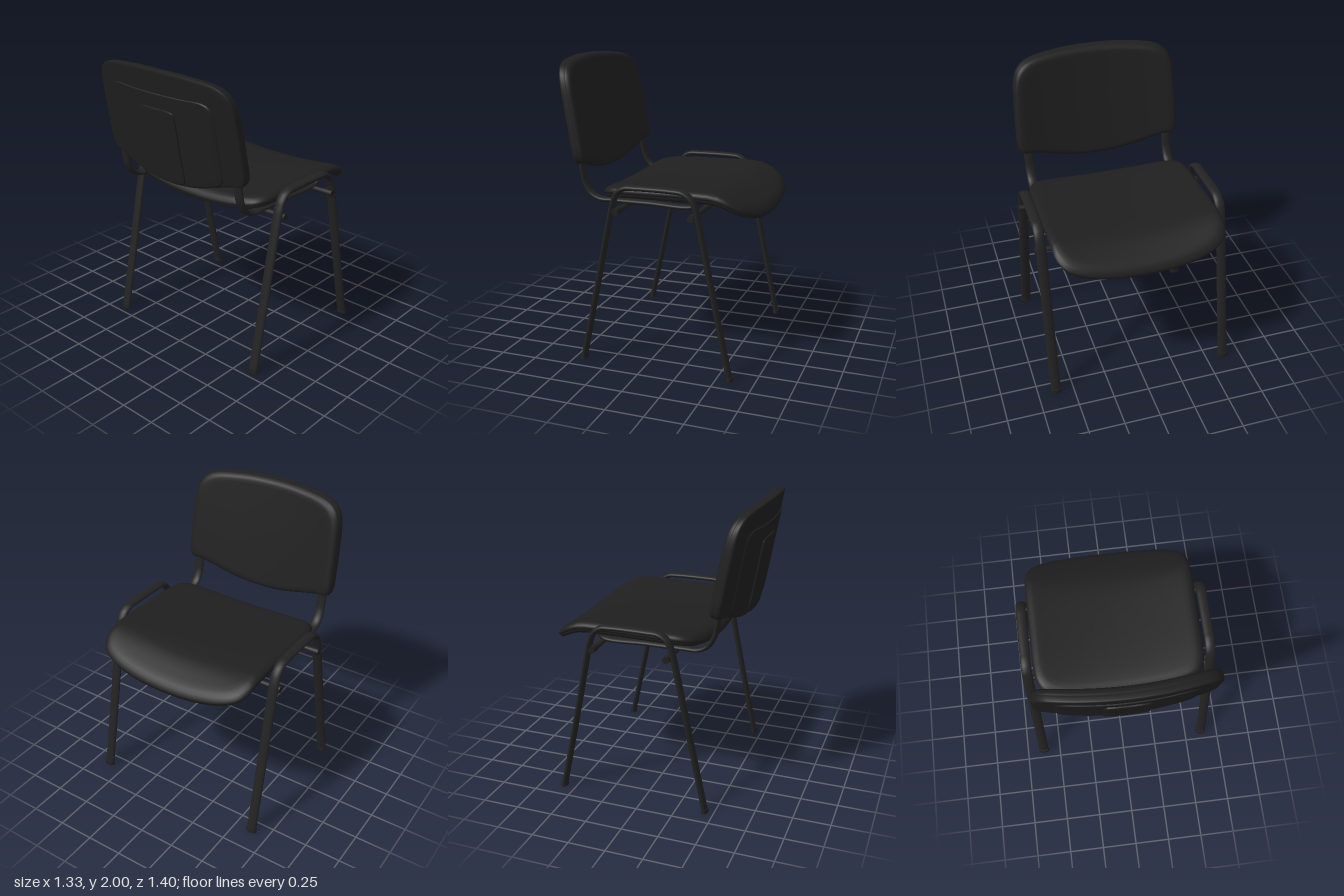
import * as THREE from 'three';

const cushionMat = new THREE.MeshStandardMaterial({ color: 0x1f1f1f });
cushionMat.name = 'black plastic';
const frameMat = new THREE.MeshStandardMaterial({ color: 0x222222 });
frameMat.name = 'black steel';

// Closed symmetric outline from its right half, listed from bottom to top
function mirrorOutline(half, samples) {
  const left = half.slice(1, -1).reverse().map(([u, v]) => [-u, v]);
  const pts = [...half, ...left].map(([u, v]) => new THREE.Vector3(u, v, 0));
  return new THREE.CatmullRomCurve3(pts, true, 'centripetal').getPoints(samples).slice(0, samples);
}

// Bent pad: rings [scale, height] of an outline, carried onto a curved surface by map(u, v, h)
function padGeometry(half, rings, map, samples = 96) {
  const outline = mirrorOutline(half, samples);
  const vc = (half[0][1] + half[half.length - 1][1]) / 2;
  const pos = [], index = [];
  rings.forEach(([s, h], i) => {
    outline.forEach((p, j) => {
      pos.push(...map(p.x * s, vc + (p.y - vc) * s, h));
      if (i === rings.length - 1) return;
      const k = (j + 1) % samples;
      const a = i * samples + j, b = a + samples, c = (i + 1) * samples + k, d = i * samples + k;
      index.push(a, b, c, a, c, d);
    });
  });
  const g = new THREE.BufferGeometry();
  g.setAttribute('position', new THREE.Float32BufferAttribute(pos, 3));
  g.setIndex(index);
  g.computeVertexNormals();
  return g;
}

// Flat-oval tube along points [z, y], centred on x = 0
function ovalTube(points, radius, halfWidth) {
  const path = new THREE.CatmullRomCurve3(points.map(([z, y]) => new THREE.Vector3(0, y, z)), false, 'centripetal');
  return new THREE.TubeGeometry(path, 96, radius, 16).scale(halfWidth / radius, 1, 1);
}

export function createModel() {
  const group = new THREE.Group();
  const add = (name, geometry, material, x = 0, y = 0, z = 0) => {
    const m = new THREE.Mesh(geometry, material);
    m.name = name;
    m.position.set(x, y, z);
    group.add(m);
    return m;
  };

  // Seat: dished across, rolled down at the front (v = -z)
  const seatLine = new THREE.SplineCurve([
    [-0.38, 1.092], [-0.3, 1.115], [-0.15, 1.125], [0.1, 1.13], [0.4, 1.132],
    [0.5, 1.115], [0.6, 1.07], [0.71, 1.01],
  ].map(p => new THREE.Vector2(...p))).getPoints(100);
  const seatY = v => {
    let i = 1;
    while (i < 100 && seatLine[i].x < v) i++;
    const a = seatLine[i - 1], b = seatLine[i];
    return a.y + (b.y - a.y) * (v - a.x) / (b.x - a.x);
  };
  const inner = [0.001, 0.15, 0.3, 0.45, 0.58, 0.68, 0.77, 0.85, 0.9];
  const seatRings = [
    ...inner.map(s => [s, 0.038]), [0.94, 0.035], [0.97, 0.027], [0.99, 0.015], [1, 0.003],
    [0.995, -0.008], [0.98, -0.011], [0.985, -0.015], [0.98, -0.027], [0.96, -0.036],
    ...[...inner].reverse().map(s => [s, -0.04]),
  ];
  add('seat', padGeometry([
    [0, -0.378], [0.25, -0.37], [0.42, -0.35], [0.52, -0.315], [0.565, -0.25], [0.58, -0.15],
    [0.583, 0.15], [0.583, 0.48], [0.572, 0.56], [0.53, 0.625], [0.44, 0.668], [0.25, 0.7], [0, 0.71],
  ], seatRings, (u, v, h) => [u, seatY(v) + 0.038 * (u / 0.58) ** 2 + h, -v]), cushionMat);

  // Backrest: leaning rearward and bowed around the sitter
  const backMap = (x, y, h) => [x, y, 0.505 + 0.18 * (y - 1.22) - 0.07 * (x / 0.58) ** 2 + h];
  const backRings = [
    ...inner.map(s => [s, 0.044]), [0.95, 0.044], [0.985, 0.043], [0.997, 0.038], [1, 0.03],
    [1, 0.008], [0.99, 0.003], [0.992, -0.003], [0.99, -0.015], [0.975, -0.03], [0.945, -0.041],
    ...[...inner].reverse().map(s => [s, -0.045]),
  ];
  add('backrest', padGeometry([
    [0, 1.222], [0.2, 1.238], [0.4, 1.29], [0.5, 1.318], [0.565, 1.33], [0.588, 1.37], [0.59, 1.5],
    [0.583, 1.7], [0.57, 1.84], [0.54, 1.91], [0.47, 1.96], [0.25, 1.992], [0, 2],
  ], backRings, backMap), cushionMat);

  // Raised panels moulded into the backrest's rear
  const panelRings = (base, rise) => [
    ...[0.001, 0.15, 0.3, 0.45, 0.6, 0.75, 0.88, 0.97].map(s => [s, base + rise]),
    [0.985, base + rise * 0.8], [1, base - 0.006],
  ];
  add('rearPanel', padGeometry([
    [0, 1.232], [0.2, 1.248], [0.4, 1.3], [0.44, 1.33], [0.445, 1.5], [0.44, 1.75],
    [0.425, 1.82], [0.38, 1.848], [0.2, 1.85], [0, 1.85],
  ], panelRings(0.044, 0.008), backMap), cushionMat);
  add('rearSpine', padGeometry([
    [0, 1.236], [0.12, 1.245], [0.148, 1.26], [0.15, 1.45], [0.15, 1.7],
    [0.14, 1.738], [0.1, 1.75], [0, 1.75],
  ], panelRings(0.052, 0.01), backMap), cushionMat);

  for (const side of [1, -1]) {
    // Bent leg hoop
    add('legFrame', ovalTube([
      [0.438, 0.01], [0.335, 0.5], [0.225, 1.03], [0.205, 1.11], [0.175, 1.175], [0.12, 1.208], [0.05, 1.212],
      [-0.2, 1.212], [-0.27, 1.205], [-0.32, 1.17], [-0.35, 1.11], [-0.37, 1.03], [-0.48, 0.5], [-0.585, 0.01],
    ], 0.018, 0.035), frameMat, side * 0.625);

    // Backrest strut running under the seat
    add('backStrut', ovalTube([
      [0.487, 1.43], [0.468, 1.28], [0.452, 1.2], [0.41, 1.13], [0.345, 1.097], [0.25, 1.095],
      [0, 1.095], [-0.3, 1.097], [-0.34, 1.135],
    ], 0.017, 0.034), frameMat, side * 0.515);

    // Feet
    for (const [z, tilt] of [[0.438, -0.2], [-0.586, 0.2]]) {
      const foot = new THREE.CylinderGeometry(0.021, 0.024, 0.026, 20).scale(1.65, 1, 1);
      add('foot', foot, cushionMat, side * 0.625, 0.013, z);
    }
  }

  // Cross bars with end caps
  for (const z of [0.18, -0.33]) {
    add('crossBar', new THREE.CylinderGeometry(0.018, 0.018, 1.3, 16).rotateZ(Math.PI / 2), frameMat, 0, 1.053, z);
    for (const side of [1, -1]) {
      add('barCap', new THREE.CylinderGeometry(0.023, 0.023, 0.07, 16).rotateZ(Math.PI / 2),
        cushionMat, side * 0.628, 1.053, z);
    }
  }
  return group;
}
